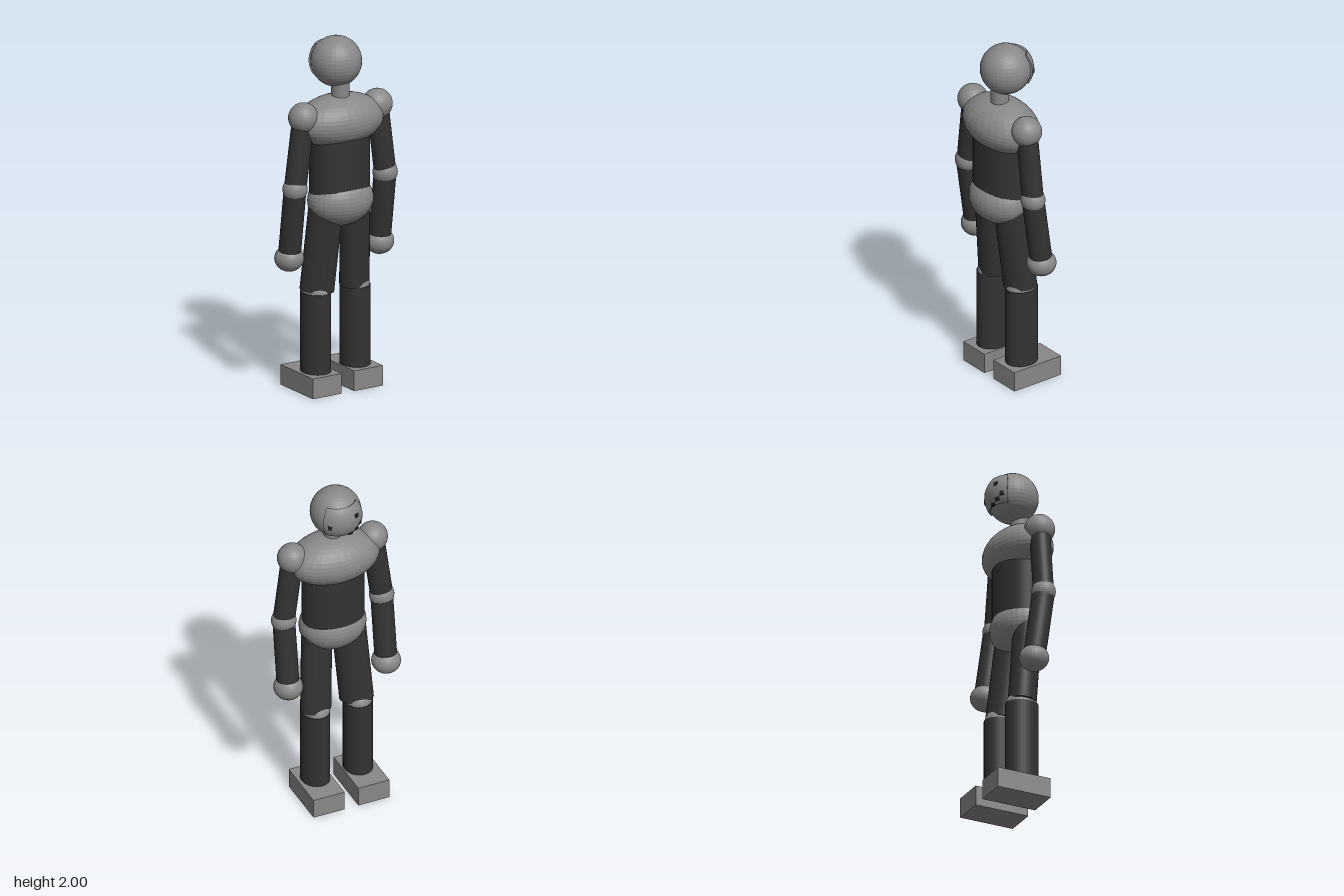
import * as THREE from 'three';

const grey = new THREE.MeshStandardMaterial({ color: 0x888888, flatShading: true, side: THREE.DoubleSide });
const dark = new THREE.MeshStandardMaterial({ color: 0x333333 });
const black = new THREE.MeshStandardMaterial({ color: 0x222222 });
const V = (x, y, z) => new THREE.Vector3(x, y, z);

export function createModel() {
  const root = new THREE.Group();

  function add(parent, name, geometry, material, position) {
    const mesh = new THREE.Mesh(geometry, material);
    mesh.name = name;
    if (position) mesh.position.copy(position);
    parent.add(mesh);
    return mesh;
  }
  function ellipsoid(parent, name, position, rx, ry = rx, rz = rx) {
    const mesh = add(parent, name, new THREE.SphereGeometry(1, 32, 20), grey, position);
    mesh.scale.set(rx, ry, rz);
  }
  // Elliptical cylinder running from one point to another
  function limb(parent, name, from, to, rx, rz, material = dark) {
    const dir = to.clone().sub(from);
    const geo = new THREE.CylinderGeometry(1, 1, dir.length(), 32).scale(rx, 1, rz);
    const mesh = add(parent, name, geo, material, from.clone().add(to).multiplyScalar(0.5));
    mesh.quaternion.setFromUnitVectors(V(0, 1, 0), dir.normalize());
  }

  // Torso
  limb(root, 'neck', V(0, 1.62, 0.04), V(0, 1.78, 0.04), 0.05, 0.05, grey);
  ellipsoid(root, 'chest', V(0, 1.535, 0.03), 0.267, 0.146, 0.172);
  limb(root, 'abdomen', V(0, 1.08, 0.034), V(0, 1.5, 0.034), 0.178, 0.136);
  ellipsoid(root, 'pelvis', V(0, 1.085, 0.041), 0.191, 0.145, 0.156);

  // Head, with a curved face plate set slightly forward on the -z side
  const head = new THREE.Group();
  head.name = 'head';
  head.position.set(0, 1.859, 0);
  root.add(head);
  ellipsoid(head, 'skull', V(0, 0, 0), 0.141);

  const face = new THREE.Group();
  face.name = 'face';
  face.position.z = -0.015;
  head.add(face);
  const radius = 0.142, steps = 12, low = -0.6, high = 0.735, half = 0.98;
  const arc = (r, i) => {
    const t = low + (high - low) * i / steps;
    return new THREE.Vector2(r * Math.cos(t), r * Math.sin(t));
  };
  const profile = [];
  for (let i = 0; i <= steps; i++) profile.push(arc(radius, i));
  for (let i = steps; i >= 0; i--) profile.push(arc(0.12, i));
  profile.push(profile[0].clone());
  add(face, 'facePlate', new THREE.LatheGeometry(profile, 16, Math.PI - half, half * 2), grey);
  for (const s of [-1, 1]) {
    const end = add(face, 'facePlateEnd', new THREE.ShapeGeometry(new THREE.Shape(profile)), grey);
    end.rotation.y = Math.PI / 2 + s * half;
  }

  // Face blocks: angle from -z towards +x in degrees, then height
  const blocks = [
    ['eye', 40, -0.014], ['eye', -27, 0.034],
    ['mouth', -43, -0.027], ['mouth', -30, -0.05], ['mouth', -13, -0.068],
  ];
  for (const [name, degrees, y] of blocks) {
    const a = THREE.MathUtils.degToRad(degrees), r = Math.sqrt(radius ** 2 - y * y) - 0.004;
    const block = add(face, name, new THREE.BoxGeometry(0.024, 0.024, 0.012), black,
      V(r * Math.sin(a), y, -r * Math.cos(a)));
    block.rotation.y = -a;
  }

  // Arms and legs, mirrored
  for (const [side, s] of [['left', 1], ['right', -1]]) {
    const arm = new THREE.Group();
    arm.name = side + 'Arm';
    root.add(arm);
    const shoulder = V(s * 0.24, 1.586, 0.041), elbow = V(s * 0.293, 1.187, 0.038), hand = V(s * 0.293, 0.78, -0.02);
    ellipsoid(arm, 'shoulder', shoulder, 0.084);
    limb(arm, 'upperArm', shoulder, elbow, 0.063, 0.056);
    ellipsoid(arm, 'elbow', elbow, 0.07, 0.07, 0.066);
    limb(arm, 'forearm', elbow.clone().lerp(hand, 0.07), hand, 0.062, 0.062);
    ellipsoid(arm, 'hand', hand, 0.081, 0.073, 0.082);

    const leg = new THREE.Group();
    leg.name = side + 'Leg';
    root.add(leg);
    limb(leg, 'thigh', V(s * 0.095, 1.05, 0.04), V(s * 0.122, 0.577, -0.006), 0.079, 0.095);
    ellipsoid(leg, 'knee', V(s * 0.126, 0.565, -0.01), 0.077, 0.077, 0.091);
    limb(leg, 'shin', V(s * 0.128, 0.1, -0.01), V(s * 0.128, 0.567, -0.01), 0.08, 0.094);
    add(leg, 'foot', new THREE.BoxGeometry(0.186, 0.115, 0.32), grey, V(s * 0.134, 0.0575, -0.045));
  }
  return root;
}
